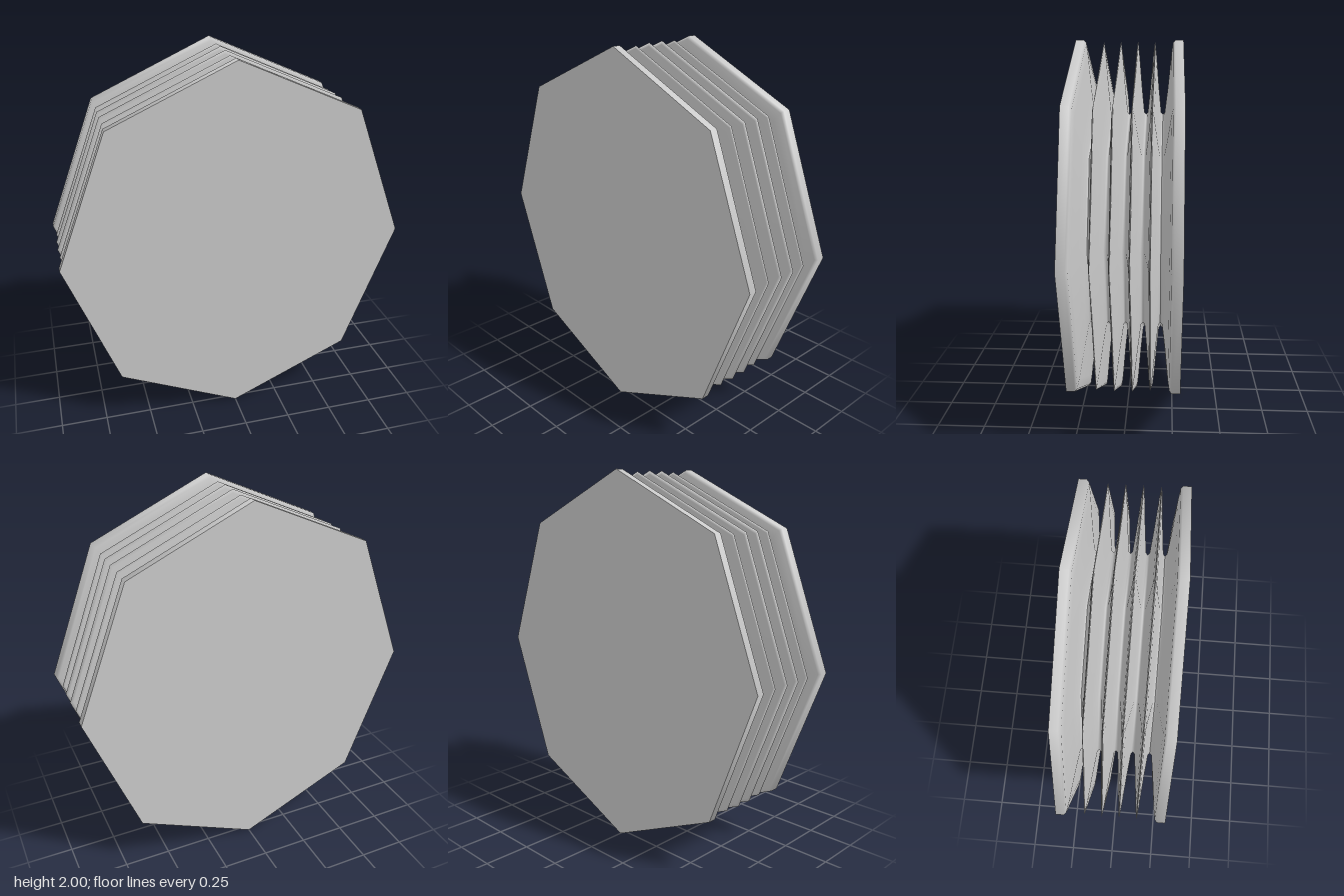
import * as THREE from 'three';

const SIDES = 8, WIDTH = 0.92; // octagon, slightly narrower in x
const END = 0.285;

const material = new THREE.MeshStandardMaterial({ color: 0xcccccc });

// Turns a list of [radius, z] (z rising) into an octagonal ring around the z axis.
function ring(name, profile) {
  const geometry = new THREE.LatheGeometry(profile.map(([r, z]) => new THREE.Vector2(r, z)), SIDES);
  geometry.rotateX(Math.PI / 2).scale(WIDTH, 1, 1);
  const mesh = new THREE.Mesh(geometry, material);
  mesh.name = name;
  return mesh;
}

// Flat octagonal end face.
function cap(name, z) {
  const geometry = new THREE.CircleGeometry(1, SIDES);
  if (z < 0) geometry.rotateY(Math.PI);
  geometry.scale(WIDTH, 1, 1).translate(0, 0, z);
  const mesh = new THREE.Mesh(geometry, material);
  mesh.name = name;
  return mesh;
}

export function createModel() {
  const group = new THREE.Group();
  group.name = 'bellows';

  // End plates: straight rim with a softened inner edge running into the first groove
  const rim = [[0.61, 0.18], [0.62, 0.19], [0.75, 0.205], [0.93, 0.222], [0.985, 0.23], [1, 0.242], [1, END]];
  group.add(ring('frontPlate', rim));
  group.add(ring('backPlate', rim.map(([r, z]) => [r, -z]).reverse()));
  group.add(cap('frontFace', END), cap('backFace', -END));

  // Pleats: four thin ridges between five grooves
  const half = [[0, 0.61], [0.009, 0.62], [0.022, 0.75], [0.036, 0.92], [0.042, 0.975]];
  const folds = [];
  for (const centre of [-0.135, -0.045, 0.045, 0.135]) {
    const tip = Math.abs(centre) > 0.1 ? 0.988 : 0.994;
    half.forEach(([d, r]) => folds.push([r, centre - 0.045 + d]));
    folds.push([tip, centre]);
    half.slice(1).reverse().forEach(([d, r]) => folds.push([r, centre + 0.045 - d]));
  }
  folds.push([0.61, 0.18]);
  group.add(ring('pleats', folds));

  group.children.forEach((part) => { part.position.y = 1; });
  return group;
}
